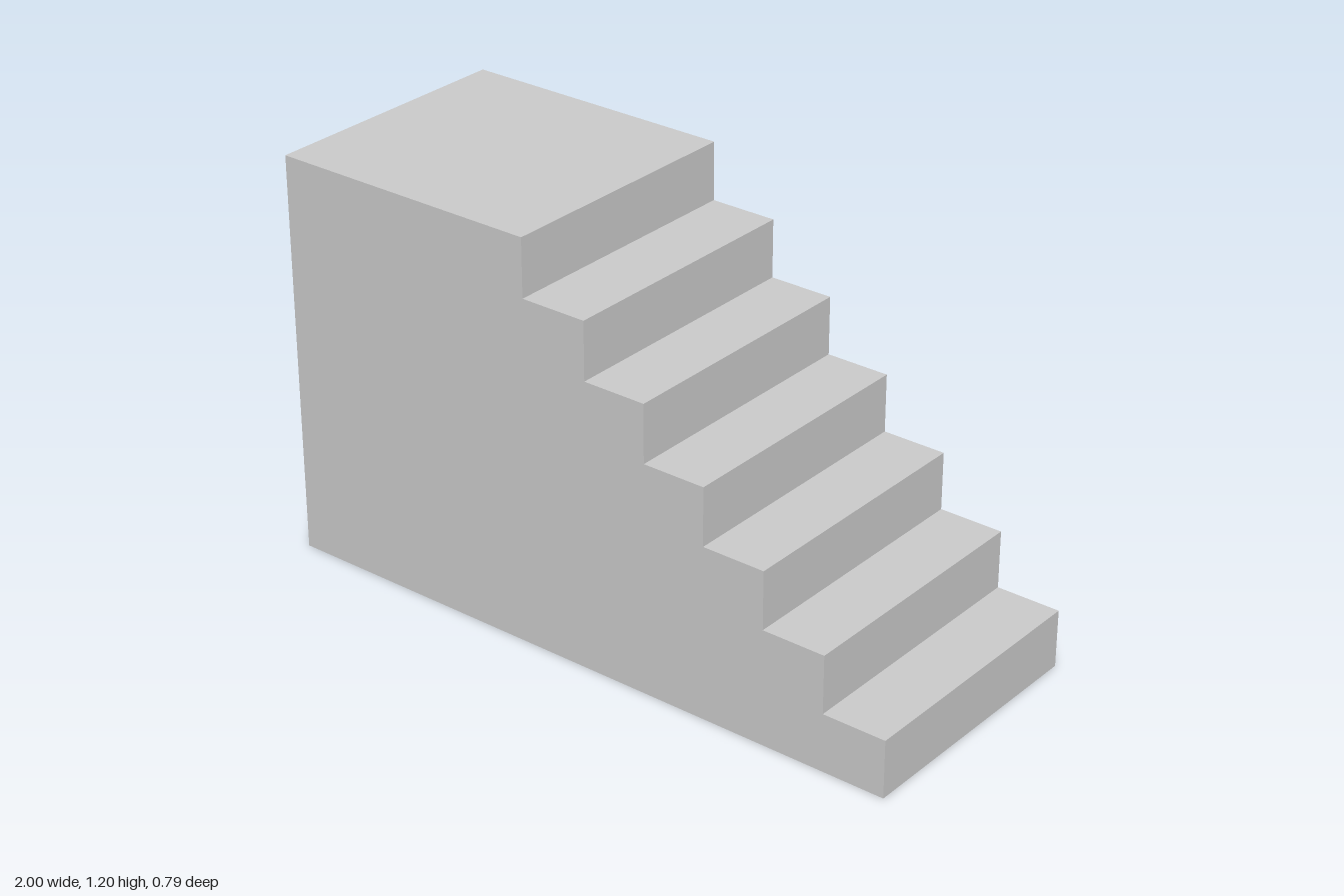
import * as THREE from 'three';

const DEPTH = 0.79;
const RISE = 0.172;
// Riser positions from the lowest step to the landing
const RISERS = [1, 0.808, 0.616, 0.424, 0.232, 0.038, -0.165];

export function createModel() {
  const group = new THREE.Group();
  group.name = 'staircase';

  // Stepped side profile: each riser goes up, then the tread runs back
  const profile = new THREE.Shape();
  profile.moveTo(-1, 0);
  RISERS.forEach((x, i) => {
    profile.lineTo(x, i * RISE);
    profile.lineTo(x, (i + 1) * RISE);
  });
  profile.lineTo(-1, RISERS.length * RISE);
  profile.closePath();

  // Solid block of steps with the landing on top
  const geometry = new THREE.ExtrudeGeometry(profile, { depth: DEPTH, bevelEnabled: false });
  geometry.translate(0, 0, -DEPTH / 2);
  const material = new THREE.MeshStandardMaterial({ color: 0xcccccc, flatShading: true });
  const stairs = new THREE.Mesh(geometry, material);
  stairs.name = 'stepsAndLanding';
  group.add(stairs);

  return group;
}
